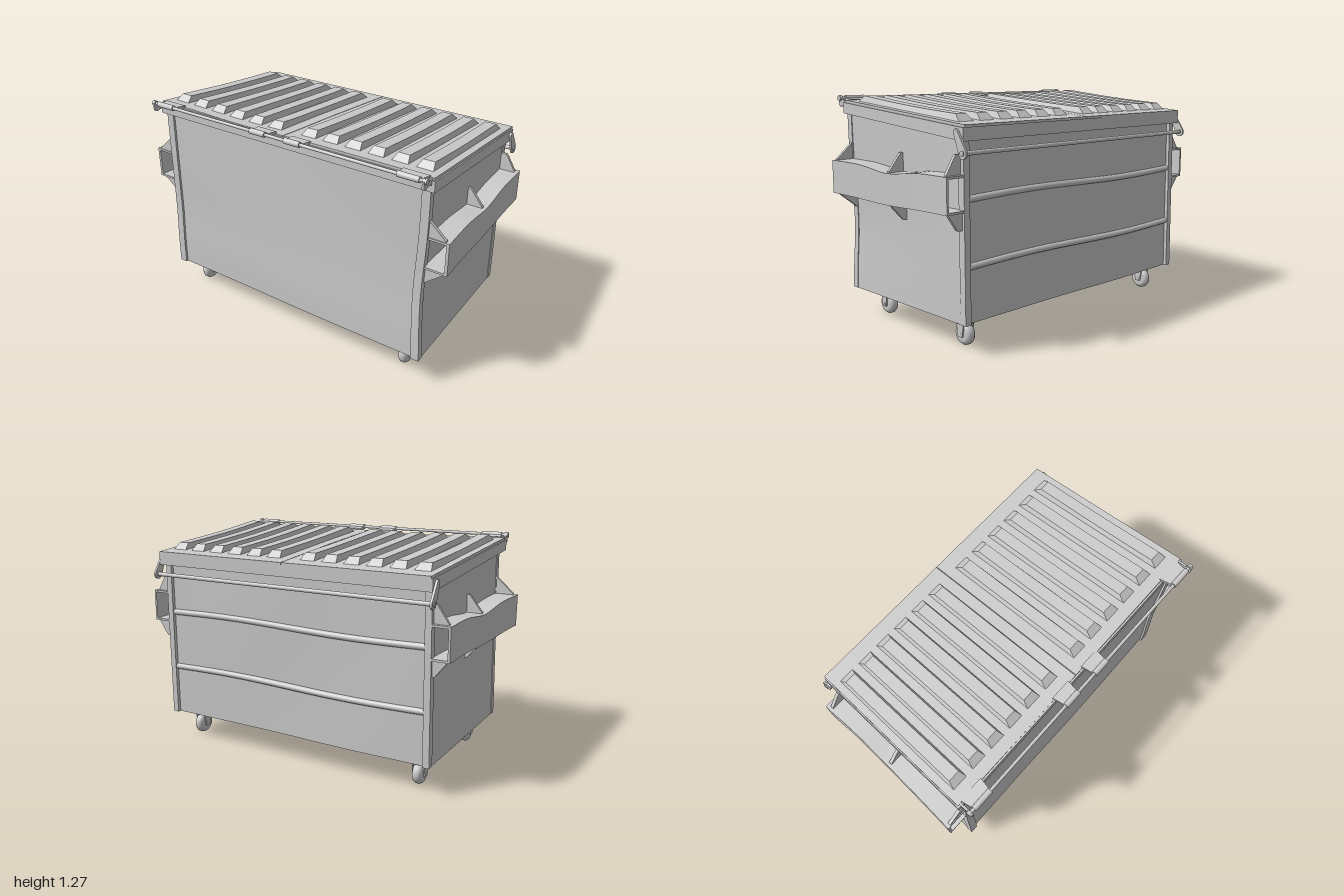
import * as THREE from 'three';

const mat = new THREE.MeshStandardMaterial({ color: 0xcccccc, side: THREE.DoubleSide });
const bell = (t, w) => Math.exp(-((t / w) ** 2));

// Sloping heights running from front (+z) to back (-z)
const lidY = z => 1.209 + 0.085 * z;
const rimY = z => 1.132 + 0.09 * z;

// Gentle dents and rearward taper shared by the sheet-metal body parts
function dent(x, y, z) {
  const r = Math.max(0, x / 0.885), l = Math.max(0, -x / 0.885), back = (0.49 - z) / 0.98;
  return [
    x - r * (0.02 * bell(y - 0.55, 0.28) * (1 - back) + 0.038 * back) + l * (0.015 * (y - 0.16) + 0.012 * back),
    y - (y < 0.2 ? 0.018 * bell(x + 0.35, 0.35) * bell(z + 0.1, 0.3) : 0),
    z + 0.005 * Math.sin(3 * x + 4 * y) * bell(x, 0.6) - 0.01 * (1 - back) * THREE.MathUtils.smoothstep(y, 0.25, 0.6),
  ];
}

// Lid and rim are slightly narrower at the back
const taper = (x, y, z) => [x * (1 + 0.04 * z), y, z];

// The lids also sag a little near the front
const lidSag = (x, y, z) => taper(x, y - 0.012 * bell(x + 0.3, 0.35) * bell(z - 0.45, 0.3), z);

// Block between x0..x1 and z0..z1 whose bottom and top follow functions of z
function slab(name, x0, x1, z0, z1, bottom, top, seg = [1, 1, 1], warp) {
  const g = new THREE.BoxGeometry(1, 1, 1, ...seg), p = g.attributes.position;
  for (let i = 0; i < p.count; i++) {
    const z = z0 + (z1 - z0) * (p.getZ(i) + 0.5);
    const b = bottom(z), t = top(z);
    let v = [x0 + (x1 - x0) * (p.getX(i) + 0.5), b + (t - b) * (p.getY(i) + 0.5), z];
    if (warp) v = warp(...v);
    p.setXYZ(i, ...v);
  }
  g.computeVertexNormals();
  return named(g, name);
}

function named(g, name) {
  const m = new THREE.Mesh(g, mat);
  m.name = name;
  return m;
}

// Cylinder lying along x
function rod(name, x, y, z, r, length, sides = 16) {
  const m = named(new THREE.CylinderGeometry(r, r, length, sides), name);
  m.rotation.z = Math.PI / 2;
  m.position.set(x, y, z);
  return m;
}

// Flat plate in the z-y plane, centred on x
function plateZY(name, points, x, thick) {
  const s = new THREE.Shape(points.map(([z, y]) => new THREE.Vector2(-z, y)));
  const g = new THREE.ExtrudeGeometry(s, { depth: thick, bevelEnabled: false });
  g.translate(0, 0, -thick / 2).rotateY(Math.PI / 2).translate(x, 0, 0);
  return named(g, name);
}

// Raised lid rib with sloping sides and ends
function lidRib(x) {
  const g = new THREE.BoxGeometry(1, 1, 1, 1, 1, 12), p = g.attributes.position;
  for (let i = 0; i < p.count; i++) {
    const up = p.getY(i) > 0;
    const z = -0.015 + p.getZ(i) * (up ? 0.77 : 0.86);
    const height = up ? 0.034 - 0.006 * Math.cos(Math.PI * p.getZ(i)) : -0.004;
    p.setXYZ(i, ...lidSag(x + p.getX(i) * (up ? 0.066 : 0.094), lidY(z) + height, z));
  }
  g.computeVertexNormals();
  return named(g, 'lidRib');
}

function caster(x, z) {
  const c = new THREE.Group();
  c.name = 'caster';
  const swivel = named(new THREE.CylinderGeometry(0.055, 0.055, 0.035, 24), 'casterSwivel');
  swivel.position.set(0, 0.142, 0);
  // Wheel with rounded tread
  const profile = [[0, -0.028], [0.038, -0.028], [0.052, -0.023], [0.062, -0.01],
    [0.062, 0.01], [0.052, 0.023], [0.038, 0.028], [0, 0.028]].map(a => new THREE.Vector2(...a));
  const wheel = named(new THREE.LatheGeometry(profile, 28), 'casterWheel');
  wheel.rotation.z = Math.PI / 2;
  wheel.position.y = 0.062;
  c.add(swivel, wheel, rod('casterAxle', 0, 0.062, 0, 0.01, 0.076));
  for (const s of [-1, 1]) {
    c.add(plateZY('casterFork', [[0.03, 0.13], [-0.03, 0.13], [-0.017, 0.048], [0.017, 0.048]], s * 0.033, 0.008));
  }
  c.position.set(x, 0, z);
  return c;
}

// Side channel for lifting forks, with triangular gussets
function forkPocket(s) {
  const grp = new THREE.Group();
  grp.name = s > 0 ? 'leftForkPocket' : 'rightForkPocket';
  const top = z => 0.92 - 0.028 * bell(z + 0.02, 0.17);
  const low = z => 0.735 - 0.01 * bell(z, 0.25);
  const flare = z => 0.972 + 0.045 * z + 0.03 * Math.max(0, z) ** 2 + (s > 0 ? 0.004 : 0.014) * bell(z + 0.5, 0.15);
  const wall = 0.84, t = 0.012, seg = [1, 1, 24];
  // x of 1 marks the flared outer edge, 0 the body wall
  const warp = (x, y, z) => [s * (wall + (flare(z) - wall) * x), y, z];
  const add = (name, x0, bottom, upper) => {
    grp.add(slab(name, s > 0 ? x0 : 1, s > 0 ? 1 : x0, -0.495, 0.475, bottom, upper, seg, warp));
  };
  add('pocketOuterWall', 0.9, low, top);
  add('pocketTop', 0, z => top(z) - t, top);
  add('pocketBottom', 0, low, z => low(z) + t);
  for (const z of [0.457, -0.01, -0.467]) {
    const out = flare(z) - 0.02;
    for (const [y, d, dz] of [[top(z) - 0.004, 0.104, 0.004], [low(z) + 0.004, -0.093, -0.006]]) {
      const shape = new THREE.Shape([[wall, y], [out, y], [out, y + d * 0.1], [0.885, y + d * 0.9], [0.875, y + d], [wall, y + d]]
        .map(([a, b]) => new THREE.Vector2(s * a, b)));
      const g = new THREE.ExtrudeGeometry(shape, { depth: 0.018, bevelEnabled: false });
      g.translate(0, 0, z + dz - 0.009);
      grp.add(named(g, 'pocketGusset'));
    }
  }
  return grp;
}

export function createModel() {
  const model = new THREE.Group();
  model.name = 'wasteContainer';
  const floor = () => 0.16;

  // Bin body, with corner posts standing proud at front and back
  model.add(slab('binBody', -0.883, 0.883, -0.475, 0.48, floor, z => rimY(z) + 0.02, [28, 16, 16], dent));
  for (const s of [-1, 1]) {
    for (const [name, w, z0, z1] of [['frontPost', 0.048, 0.455, 0.493], ['backPost', 0.038, -0.496, -0.455]]) {
      const a = s * 0.887, b = s * (0.887 - w);
      model.add(slab(name, Math.min(a, b), Math.max(a, b), z0, z1, floor, z => rimY(z) + 0.01, [1, 16, 1], dent));
    }
  }

  // Rounded stiffening ribs across the back
  for (const y of [0.455, 0.797]) {
    const path = Array.from({ length: 13 }, (_, i) => {
      const x = -0.85 + 0.139 * i;
      return new THREE.Vector3(x, y + 0.008 * Math.sin(4 * x), -0.475);
    });
    model.add(named(new THREE.TubeGeometry(new THREE.CatmullRomCurve3(path), 32, 0.018, 10), 'backRib'));
  }

  // Top rim
  model.add(slab('topRim', -0.891, 0.891, -0.522, 0.49, rimY, z => lidY(z) - 0.014, [1, 1, 1], taper));

  // Twin lids with raised ribs
  for (const s of [-1, 1]) {
    const lid = new THREE.Group();
    lid.name = s > 0 ? 'leftLid' : 'rightLid';
    const a = s * 0.002, b = s * 0.884;
    lid.add(slab('lidPanel', Math.min(a, b), Math.max(a, b), -0.527, 0.48,
      z => lidY(z) - 0.014, lidY, [14, 1, 14], lidSag));
    for (let i = 0; i < 6; i++) lid.add(lidRib(s * (0.112 + 0.137 * i)));
    // Hinge straps, wider at the lid, and knuckles
    for (const [x, w] of [[0.115, 0.1], [0.8, 0.12]]) {
      const flareOut = (px, y, z) => [s * x + (px - s * x) * (1 + 3 * (0.55 - z)), y, z];
      lid.add(slab('hingeStrap', s * x - w / 2, s * x + w / 2, 0.47, 0.55,
        z => lidY(z) - 0.012, z => lidY(z) + 0.004, [1, 1, 1], flareOut));
      lid.add(rod('hingeKnuckle', s * x, 1.257, 0.549, 0.016, w));
    }
    model.add(lid);
  }

  // Front hinge rod and its end brackets
  model.add(rod('hingeRod', 0, 1.257, 0.549, 0.009, 1.78));
  for (const s of [-1, 1]) {
    model.add(plateZY('hingeBracket', [[0.48, 1.2], [0.5, 1.222], [0.55, 1.21], [0.565, 1.218],
      [0.567, 1.262], [0.555, 1.274], [0.54, 1.27], [0.53, 1.25], [0.48, 1.245]], s * 0.885, 0.012));
    model.add(rod('hingeRodEnd', s * 0.893, 1.257, 0.549, 0.016, 0.014));
  }

  // Back lock bar on swinging arms
  model.add(rod('lockBar', 0, 1.03, -0.533, 0.012, 1.75));
  for (const s of [-1, 1]) {
    const pts = [];
    const arc = (z, y, r, start) => {
      for (let i = 0; i <= 10; i++) {
        const t = start + Math.PI * i / 10;
        pts.push([z + r * Math.cos(t), y + r * Math.sin(t)]);
      }
    };
    arc(-0.483, 1.128, 0.016, -0.47);
    arc(-0.533, 1.03, 0.028, -0.47 + Math.PI);
    model.add(plateZY('lockArm', pts, s * 0.881, 0.012));
    model.add(rod('lockArmPivot', s * 0.88, 1.03, -0.533, 0.014, 0.024));
  }

  // Fork pockets and casters
  for (const s of [-1, 1]) {
    model.add(forkPocket(s));
    for (const z of [0.35, -0.352]) model.add(caster(s * 0.75 - 0.015, z));
  }
  return model;
}
